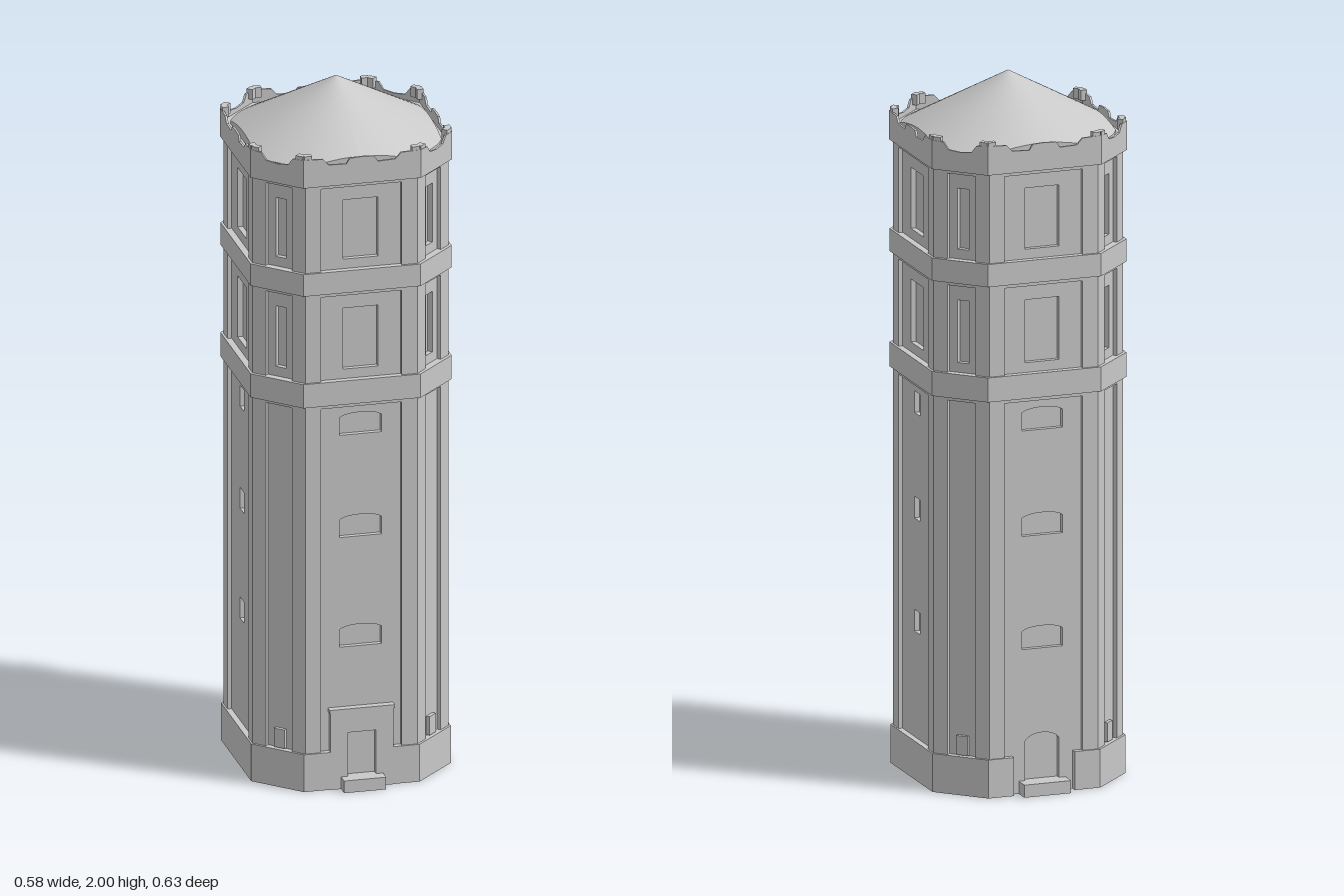
import * as THREE from 'three';

const stone = new THREE.MeshStandardMaterial({ color: 0xc8c8c8, side: THREE.DoubleSide });
stone.name = 'stone';

// Side i of the octagon: even sides are wide, odd sides are the cut corners.
function side(i, d) {
  const h = d - 0.12;
  return i % 2
    ? { dist: (d + h) / Math.SQRT2, half: (d - h) / Math.SQRT2 }
    : { dist: d, half: h };
}

// Octagonal prism; notch(i) may return { w, depth } for a recess along that side.
function prism(d, y0, y1, notch = () => null) {
  const pts = [];
  for (let i = 0; i < 8; i++) {
    const a = i * Math.PI / 4, { dist, half } = side(i, d), n = notch(i);
    const put = (r, t) => pts.push(new THREE.Vector2(
      r * Math.cos(a) - t * Math.sin(a), r * Math.sin(a) + t * Math.cos(a)));
    put(dist, -half);
    if (n) {
      put(dist, -n.w);
      put(dist - n.depth, -n.w);
      put(dist - n.depth, n.w);
      put(dist, n.w);
    }
  }
  const g = new THREE.ExtrudeGeometry(new THREE.Shape(pts), { depth: y1 - y0, bevelEnabled: false });
  return g.rotateX(-Math.PI / 2).translate(0, y0, 0);
}

// Opening with an optional shallow arched head.
function opening(w, y0, y1, rise = 0) {
  const p = new THREE.Path();
  p.moveTo(-w, y0);
  p.lineTo(w, y0);
  p.lineTo(w, y1 - rise);
  if (rise) p.quadraticCurveTo(w * 0.7, y1, 0, y1).quadraticCurveTo(-w * 0.7, y1, -w, y1 - rise);
  else p.lineTo(-w, y1);
  p.closePath();
  return p;
}

// Upright plate with openings, its back at z.
function plate(w, y0, y1, holes, depth, z) {
  const s = new THREE.Shape([[-w, y0], [w, y0], [w, y1], [-w, y1]].map(p => new THREE.Vector2(...p)));
  s.holes.push(...holes);
  return new THREE.ExtrudeGeometry(s, { depth, bevelEnabled: false, curveSegments: 6 }).translate(0, 0, z);
}

function box(w, h, d, x, y, z) {
  return new THREE.BoxGeometry(w, h, d).translate(x, y, z);
}

export function createModel() {
  const tower = new THREE.Group();
  tower.name = 'tower';
  const add = (name, geometry, angle = 0) => {
    const m = new THREE.Mesh(geometry, stone);
    m.name = name;
    m.rotation.y = angle;
    tower.add(m);
  };
  const R = 0.28, PANEL = 0.012, DEEP = 0.015;
  const panelHalf = i => (i % 2 ? 0.042 : 0.115);
  const recess = i => ({ w: panelHalf(i), depth: PANEL + DEEP });

  // Plinth, open at the front and back doorways
  add('plinth', prism(0.285, 0, 0.11, i => (i === 2 || i === 6 ? { w: 0.09, depth: 0.032 } : null)));

  // Shaft and two upper storeys: pilastered core with a lintel
  const storeys = [[0.11, 1.125, 1.135], [1.205, 1.455, 1.465], [1.53, 1.775, 1.785]];
  storeys.forEach(([y0, y1, top], k) => {
    add('pilasteredWall', prism(R, y0, y1, recess));
    add('lintel', prism(R, y1, top));

    // Recessed wall panels with window openings; angle 0 is the front
    for (let i = 0; i < 8; i++) {
      const w = panelHalf(i), z = side(i, R).dist - PANEL - DEEP;
      const frontOrBack = i % 4 === 0, holes = [];
      if (k > 0) {
        holes.push(i % 2 ? opening(0.017, y0 + 0.028, y1 - 0.043) : opening(0.05, y0 + 0.028, y1 - 0.042));
      } else if (i % 2 === 0) {
        for (const y of [0.412, 0.736, 1.038]) {
          holes.push(frontOrBack ? opening(0.06, y, y + 0.064, 0.012) : opening(0.023, y, y + 0.062));
        }
        if (i === 4) holes.push(opening(0.05, 0.035, 0.17, 0.02));
      }
      const a = i * Math.PI / 4;
      if (k === 0 && frontOrBack) {
        // The door walls run down inside the plinth gap
        add('doorWallFoot', box(0.18, 0.035, DEEP, 0, 0.0175, z + DEEP / 2), a);
        const low = i === 4 ? [holes.pop()] : [];
        add('doorWall', plate(0.09, 0.03, 0.2, low, DEEP, z), a);
        add('wallPanel', plate(w, 0.2, y1, holes, DEEP, z), a);
        for (const s of [-1, 1]) add('wallPanelEdge', box(0.025, 0.09, DEEP, s * 0.1025, 0.155, z + DEEP / 2), a);
      } else {
        add('wallPanel', plate(w, y0, y1, holes, DEEP, z), a);
      }
      // Small hatch at the foot of each cut corner
      if (k === 0 && i % 2) add('cornerHatch', box(0.034, 0.055, 0.012, 0, 0.14, z + DEEP + 0.005), a);
    }
  });

  // Projecting belts
  add('lowerBelt', prism(0.287, 1.135, 1.205));
  add('upperBelt', prism(0.287, 1.465, 1.53));

  // Front door surround, cap and the two doorsteps
  add('doorSurround', plate(0.09, 0, 0.228, [opening(0.04, 0.035, 0.165)], 0.02, 0.267));
  add('doorCap', box(0.186, 0.01, 0.025, 0, 0.231, 0.2775));
  add('frontStep', box(0.12, 0.036, 0.06, 0, 0.018, 0.291));
  add('backStep', box(0.138, 0.036, 0.06, 0, 0.018, -0.282));

  // Parapet with a wavy crest, standing on a deck
  add('deck', prism(0.284, 1.785, 1.83));
  for (let i = 0; i < 8; i++) {
    const { dist, half } = side(i, 0.288);
    const crest = i % 2
      ? [[half, 1.868], [0.05, 1.866], [0.035, 1.846], [0, 1.842]]
      : [[half, 1.868], [0.112, 1.866], [0.095, 1.848], [0.045, 1.846], [0.035, 1.862], [0, 1.864]];
    const pts = [[-half, 1.785], [half, 1.785], ...crest,
      ...crest.slice(0, -1).reverse().map(([x, y]) => [-x, y])];
    const s = new THREE.Shape(pts.map(p => new THREE.Vector2(...p)));
    const g = new THREE.ExtrudeGeometry(s, { depth: 0.006, bevelEnabled: false });
    add('parapet', g.translate(0, 0, dist - 0.006), i * Math.PI / 4);
    // Small raised blocks at the corners
    for (const sgn of [-1, 1]) add('crestBlock', box(0.022, 0.03, 0.018, sgn * (half - 0.014), 1.863, dist - 0.01), i * Math.PI / 4);
  }

  // Roof: a cone whose eaves are flattened on the four wide sides
  const roofPart = (name, profile) => {
    const g = new THREE.LatheGeometry(profile.map(p => new THREE.Vector2(...p)), 64);
    const p = g.attributes.position;
    for (let i = 0; i < p.count; i++) {
      const x = p.getX(i), z = p.getZ(i), f = Math.hypot(x, z);
      if (f < 1e-6) continue;
      const r = Math.min(0.302, 0.265 * f / Math.max(Math.abs(x), Math.abs(z)));
      const y = p.getY(i) > 1.82 ? 2 - 0.54 * r * f : p.getY(i);
      p.setXYZ(i, x * r, y, z * r);
    }
    g.computeVertexNormals();
    add(name, g);
  };
  roofPart('eaves', [[1, 1.815], [1, 1.85]]);
  roofPart('roof', [[1, 1.85], [0.5, 1.9], [0, 2]]);

  // The body sits slightly towards the back
  tower.position.z = -0.005;
  const model = new THREE.Group();
  model.name = 'waterTower';
  model.add(tower);
  return model;
}
